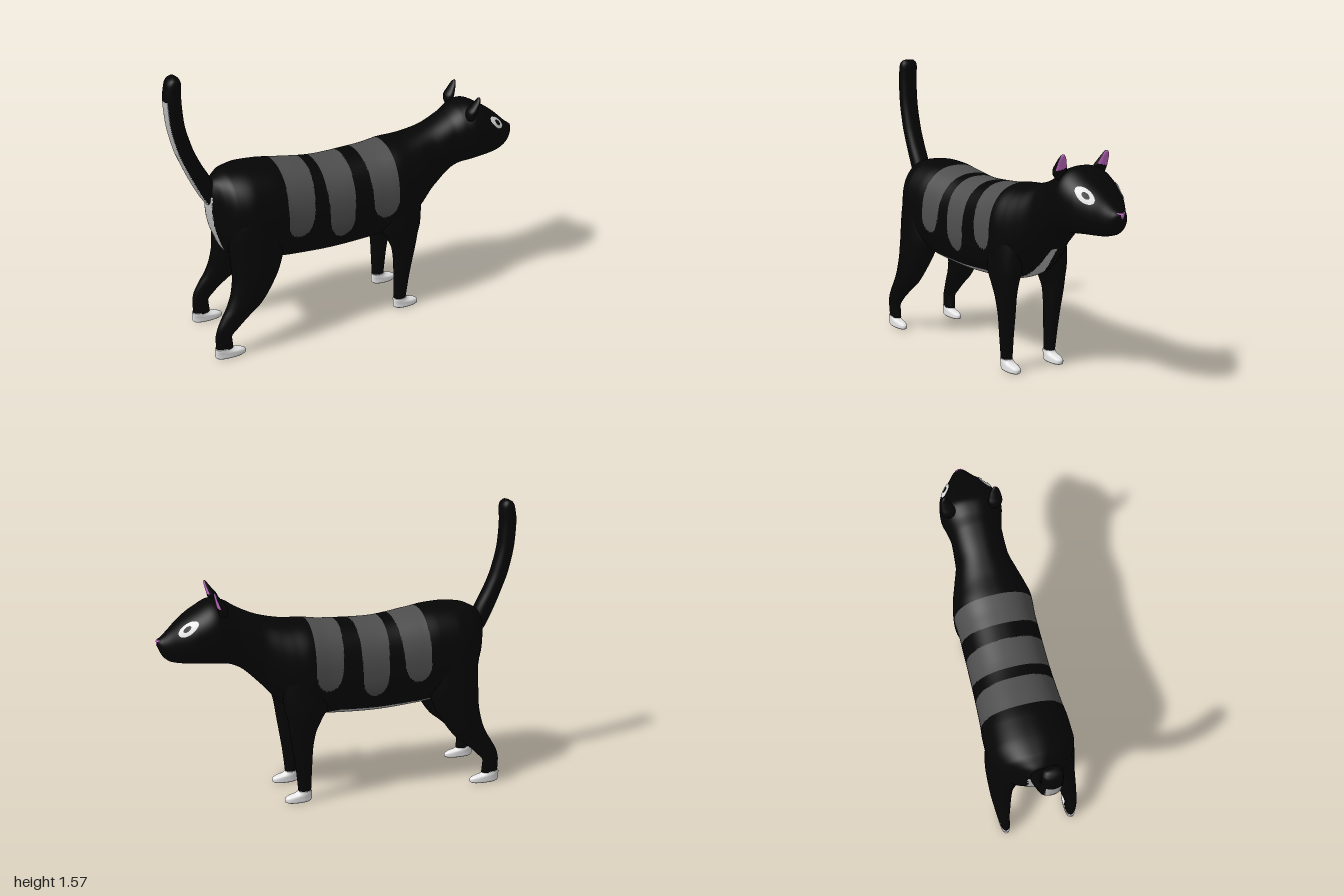
import * as THREE from 'three';

const mat = (name, color) => Object.assign(new THREE.MeshStandardMaterial({ color }), { name });

// Smooth interpolation of section rows [t, a0, a1, b0, b1]
function sample(rows, t) {
  let i = 0;
  while (i < rows.length - 2 && t > rows[i + 1][0]) i++;
  const p = rows[i], q = rows[i + 1], h = q[0] - p[0], u = (t - p[0]) / h;
  const slope = (k, c) => {
    const l = rows[Math.max(k - 1, 0)], r = rows[Math.min(k + 1, rows.length - 1)], m = rows[k];
    const s0 = (m[c] - l[c]) / (m[0] - l[0] || 1), s1 = (r[c] - m[c]) / (r[0] - m[0] || 1);
    if (k === 0) return s1;
    if (k === rows.length - 1) return s0;
    return s0 * s1 <= 0 ? 0 : 2 * s0 * s1 / (s0 + s1);
  };
  return [1, 2, 3, 4].map(c => p[c] * (2 * u ** 3 - 3 * u * u + 1) + q[c] * (3 * u * u - 2 * u ** 3)
    + h * (slope(i, c) * (u ** 3 - 2 * u * u + u) + slope(i + 1, c) * (u ** 3 - u * u)));
}

// Closed loft of rounded sections along x (a = y) or y (a = x); b is always z.
// paint(x, y, z, cos) picks the material index of each face.
function loft(name, rows, axis, nt, na, power, mats, paint = () => 0) {
  const pos = [], cosines = [], lists = mats.map(() => []);
  const t0 = rows[0][0], t1 = rows[rows.length - 1][0];
  const put = (t, a, b) => axis === 'x' ? pos.push(t, a, b) : pos.push(a, t, b);
  const bend = v => Math.sign(v) * Math.abs(v) ** (2 / power);
  for (let i = 0; i <= nt; i++) {
    const t = t0 + (t1 - t0) * i / nt, [a0, a1, b0, b1] = sample(rows, t);
    for (let j = 0; j < na; j++) {
      const w = j / na * Math.PI * 2;
      put(t, (a0 + a1) / 2 + (a1 - a0) / 2 * bend(Math.cos(w)), (b0 + b1) / 2 + (b1 - b0) / 2 * bend(Math.sin(w)));
      cosines.push(Math.cos(w));
    }
  }
  for (const r of [rows[0], rows[rows.length - 1]]) { put(r[0], (r[1] + r[2]) / 2, (r[3] + r[4]) / 2); cosines.push(0); }
  const face = (a, b, c) => {
    const mean = k => (pos[a * 3 + k] + pos[b * 3 + k] + pos[c * 3 + k]) / 3;
    const m = paint(mean(0), mean(1), mean(2), (cosines[a] + cosines[b] + cosines[c]) / 3);
    if (axis === 'x') lists[m].push(a, b, c); else lists[m].push(a, c, b);
  };
  const start = (nt + 1) * na, end = start + 1;
  for (let j = 0; j < na; j++) {
    const k = (j + 1) % na;
    for (let i = 0; i < nt; i++) {
      const a = i * na + j, b = i * na + k;
      face(a, b, a + na);
      face(b, b + na, a + na);
    }
    face(start, k, j);
    face(end, nt * na + j, nt * na + k);
  }
  const g = new THREE.BufferGeometry();
  g.setAttribute('position', new THREE.Float32BufferAttribute(pos, 3));
  g.setIndex(lists.flat());
  let from = 0;
  lists.forEach((l, m) => { if (l.length) g.addGroup(from, l.length, m); from += l.length; });
  g.computeVertexNormals();
  const mesh = new THREE.Mesh(g, mats);
  mesh.name = name;
  return mesh;
}

export function createModel() {
  const cat = new THREE.Group();
  cat.name = 'cat';
  const fur = mat('black fur', 0x050505), stripe = mat('dark grey stripe', 0x4e4e4e);
  const pale = mat('pale grey fur', 0xb8b8b8), white = mat('white', 0xececec), pink = mat('pink', 0xc86cc8);

  // Torso, neck and head: x, bottom, top, half width
  const body = [
    [-0.815, 0.8, 0.86, 0.02], [-0.8, 0.7, 0.94, 0.068], [-0.78, 0.64, 0.972, 0.095], [-0.75, 0.57, 0.99, 0.145],
    [-0.7, 0.53, 1.01, 0.2], [-0.6, 0.5, 1.02, 0.235], [-0.5, 0.485, 1.015, 0.234], [-0.4, 0.47, 1.0, 0.226],
    [-0.15, 0.455, 0.97, 0.217], [0.1, 0.465, 0.98, 0.216], [0.22, 0.48, 0.995, 0.222], [0.3, 0.51, 1.0, 0.205],
    [0.37, 0.565, 1.012, 0.18], [0.47, 0.675, 1.04, 0.147], [0.575, 0.77, 1.09, 0.142], [0.64, 0.797, 1.13, 0.156],
    [0.7, 0.805, 1.145, 0.17], [0.8, 0.815, 1.1, 0.155], [0.88, 0.82, 1.045, 0.115], [0.93, 0.83, 1.0, 0.078],
    [0.965, 0.855, 0.968, 0.054], [0.985, 0.89, 0.953, 0.036], [0.995, 0.915, 0.945, 0.018],
  ].map(([x, lo, hi, w]) => [x, lo, hi, -w, w]);
  // Stripes: centre, lean, lower end
  const bands = [[-0.352, -0.07, 0.65], [-0.132, 0, 0.59], [0.117, 0.03, 0.645]];
  const paintBody = (x, y, z, c) => {
    for (const [centre, lean, low] of bands) {
      const r = 0.07 + Math.max(0, y - 0.65) * 0.035, dx = x - centre - lean * (1 - y);
      if (Math.hypot(dx, Math.min(0, y - low - 0.1) * 0.7) < r) return 1;
    }
    const belly = 0.02 + 0.125 * Math.min(1, Math.max(0, (0.475 - x) / 0.425)) ** 1.4;
    if (c < 0 && x > -0.515 && x < 0.475 && Math.abs(z) < belly) return 2;
    if (x < -0.74 && Math.abs(z) < 0.065 && y < 0.9) return 2;
    return 0;
  };
  cat.add(loft('body', body, 'x', 300, 150, 2.35, [fur, stripe, pale], paintBody));

  // Tail: y, back x, front x, half width, with a pale back
  const tail = [
    [0.82, -0.8, -0.72, 0.05], [0.88, -0.84, -0.745, 0.052], [0.97, -0.885, -0.775, 0.052], [1.08, -0.93, -0.83, 0.052],
    [1.18, -0.965, -0.87, 0.052], [1.34, -0.995, -0.905, 0.052], [1.45, -1, -0.91, 0.052], [1.53, -0.988, -0.906, 0.052],
    [1.555, -0.978, -0.912, 0.047], [1.57, -0.955, -0.93, 0.03],
  ].map(([y, a, b, w]) => [y, a, b, -w, w]);
  const paintTail = (x, y, z, c) => c < -0.5 && Math.abs(z) < 0.038 && y < 1.45 ? 1 : 0;
  cat.add(loft('tail', tail, 'y', 70, 36, 2.3, [fur, pale], paintTail));

  // Limbs and ears: y, back x, front x, inner z, outer z
  const hindLeg = [
    [0.06, -0.865, -0.77, 0.165, 0.217], [0.13, -0.865, -0.775, 0.165, 0.222], [0.18, -0.855, -0.735, 0.162, 0.23],
    [0.25, -0.82, -0.66, 0.145, 0.238], [0.3, -0.79, -0.6, 0.13, 0.243], [0.38, -0.76, -0.54, 0.11, 0.245],
    [0.48, -0.745, -0.485, 0.08, 0.246], [0.6, -0.745, -0.45, 0.04, 0.243], [0.75, -0.735, -0.46, 0.03, 0.234],
    [0.9, -0.69, -0.52, 0.05, 0.18],
  ];
  const frontLeg = [
    [0.06, 0.215, 0.285, 0.115, 0.17], [0.2, 0.21, 0.3, 0.112, 0.182], [0.3, 0.205, 0.315, 0.11, 0.19],
    [0.4, 0.19, 0.33, 0.108, 0.203], [0.48, 0.155, 0.342, 0.095, 0.213], [0.55, 0.12, 0.358, 0.08, 0.218],
    [0.7, 0.12, 0.365, 0.06, 0.21], [0.85, 0.17, 0.31, 0.08, 0.15],
  ];
  const ear = [
    [1.08, 0.65, 0.685, 0.105, 0.145], [1.11, 0.642, 0.692, 0.092, 0.164], [1.13, 0.645, 0.699, 0.09, 0.168],
    [1.16, 0.667, 0.706, 0.1, 0.165], [1.19, 0.69, 0.713, 0.115, 0.158],
    [1.205, 0.7, 0.715, 0.126, 0.148], [1.21, 0.705, 0.712, 0.133, 0.141],
  ];
  const paw = (x, length, z, w) => [
    [0.003, 0.08, 0.92, 0.8], [0.012, 0.01, 1, 1], [0.025, 0, 1, 1], [0.038, 0, 0.9, 1],
    [0.048, 0, 0.66, 0.97], [0.058, 0, 0.54, 0.94], [0.068, 0.01, 0.5, 0.92],
  ].map(([y, a, b, s]) => [y, x + a * length, x + b * length, z - w * s, z + w * s]);

  // Flat shapes laid onto the head surface
  const onHead = (y, z) => {
    let lo = 0.7, hi = 0.995;
    for (let i = 0; i < 24; i++) {
      const x = (lo + hi) / 2, [a0, a1, , w] = sample(body, x);
      const d = Math.abs((2 * y - a0 - a1) / (a1 - a0)) ** 2.35 + Math.abs(z / w) ** 2.35;
      if (d < 1) lo = x; else hi = x;
    }
    return lo;
  };
  const facePatch = (name, g, y0, z0, sy, sz, material) => {
    const p = g.attributes.position;
    for (let i = 0; i < p.count; i++) {
      const y = y0 + p.getY(i) * sy, z = z0 - p.getX(i) * sz;
      p.setXYZ(i, onHead(y, z) + 0.004, y, z + Math.sign(z0) * 0.002);
    }
    g.computeVertexNormals();
    const mesh = new THREE.Mesh(g, material);
    mesh.name = name;
    cat.add(mesh);
  };

  for (const [side, s] of [['left', -1], ['right', 1]]) {
    const mirror = rows => rows.map(([y, a, b, c, d]) => s > 0 ? [y, a, b, c, d] : [y, a, b, -d, -c]);
    cat.add(loft(side + 'HindLeg', mirror(hindLeg), 'y', 60, 36, 2.1, [fur]));
    cat.add(loft(side + 'FrontLeg', mirror(frontLeg), 'y', 60, 36, 2.1, [fur]));
    cat.add(loft(side + 'HindPaw', mirror(paw(-0.872, 0.172, 0.192, 0.029)), 'y', 20, 32, 2.3, [white]));
    cat.add(loft(side + 'FrontPaw', mirror(paw(0.211, 0.151, 0.142, 0.032)), 'y', 20, 32, 2.3, [white]));
    // Pink inner ear, its lower edge rising towards the middle of the head
    const paintEar = (x, y, z, c) => c > 0.5 && y > 1.125 + (0.168 - Math.abs(z)) * 0.25 ? 1 : 0;
    cat.add(loft(side + 'Ear', mirror(ear), 'y', 26, 36, 2, [fur, pink], paintEar));
    facePatch(side + 'Eye', new THREE.RingGeometry(0.42, 1, 36, 4), 1.025, s * 0.11, 0.04, 0.028, white);
  }

  // Nose, a triangle pointing down
  facePatch('nose', new THREE.RingGeometry(0, 1, 3, 6, -Math.PI / 2), 0.94, 0, 0.022, 0.03, pink);
  return cat;
}
